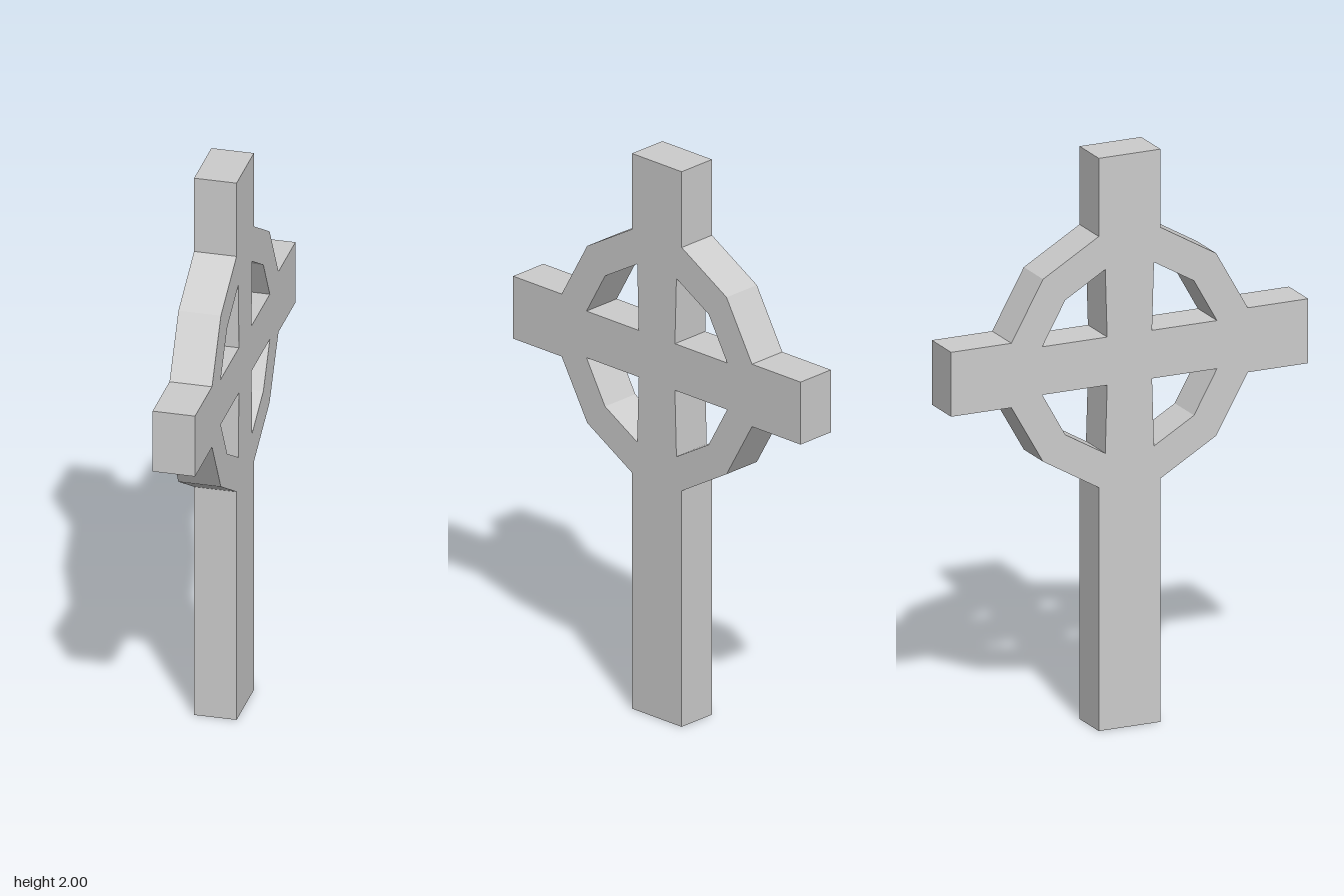
import * as THREE from 'three';

const DEPTH = 0.146;
const CENTRE_Y = 1.2875;

// Drops the triangles lying on the ground, leaving the foot open
function openFoot(geometry) {
  const source = geometry.toNonIndexed ? (geometry.index ? geometry.toNonIndexed() : geometry) : geometry;
  const p = source.attributes.position;
  const kept = [];
  for (let i = 0; i < p.count; i += 3) {
    if ([0, 1, 2].every((k) => p.getY(i + k) < 1e-4)) continue;
    for (let k = 0; k < 3; k++) kept.push(p.getX(i + k), p.getY(i + k), p.getZ(i + k));
  }
  const result = new THREE.BufferGeometry();
  result.setAttribute('position', new THREE.Float32BufferAttribute(kept, 3));
  result.computeVertexNormals();
  return result;
}

export function createModel() {
  const group = new THREE.Group();
  group.name = 'ringedCross';

  // Half outline: foot, lower ring, arm, upper ring, head
  const half = [
    [0.114, 0], [0.114, 0.85], [0.32, 0.97], [0.437, 1.175], [0.66, 1.175],
    [0.66, 1.4], [0.437, 1.4], [0.32, 1.607], [0.114, 1.727], [0.114, 2],
  ];
  const mirrored = half.map(([x, y]) => [-x, y]).reverse();
  const shape = new THREE.Shape([...half, ...mirrored].map(([x, y]) => new THREE.Vector2(x, y)));

  // Four openings between the ring and the arms, mirrored both ways
  const opening = [[0.083, 0.084], [0.323, 0.084], [0.238, 0.235], [0.09, 0.321]];
  for (const sx of [-1, 1]) {
    for (const sy of [-1, 1]) {
      shape.holes.push(new THREE.Path(
        opening.map(([x, y]) => new THREE.Vector2(sx * x, CENTRE_Y + sy * y)),
      ));
    }
  }

  // The slab's broad faces look along x
  const slab = new THREE.ExtrudeGeometry(shape, { depth: DEPTH, bevelEnabled: false });
  slab.translate(0, 0, -DEPTH / 2);
  slab.rotateY(-Math.PI / 2);

  const cross = new THREE.Mesh(
    openFoot(slab),
    new THREE.MeshStandardMaterial({ color: 0xcccccc, flatShading: true, side: THREE.DoubleSide }),
  );
  cross.name = 'crossWithRing';
  group.add(cross);
  return group;
}
